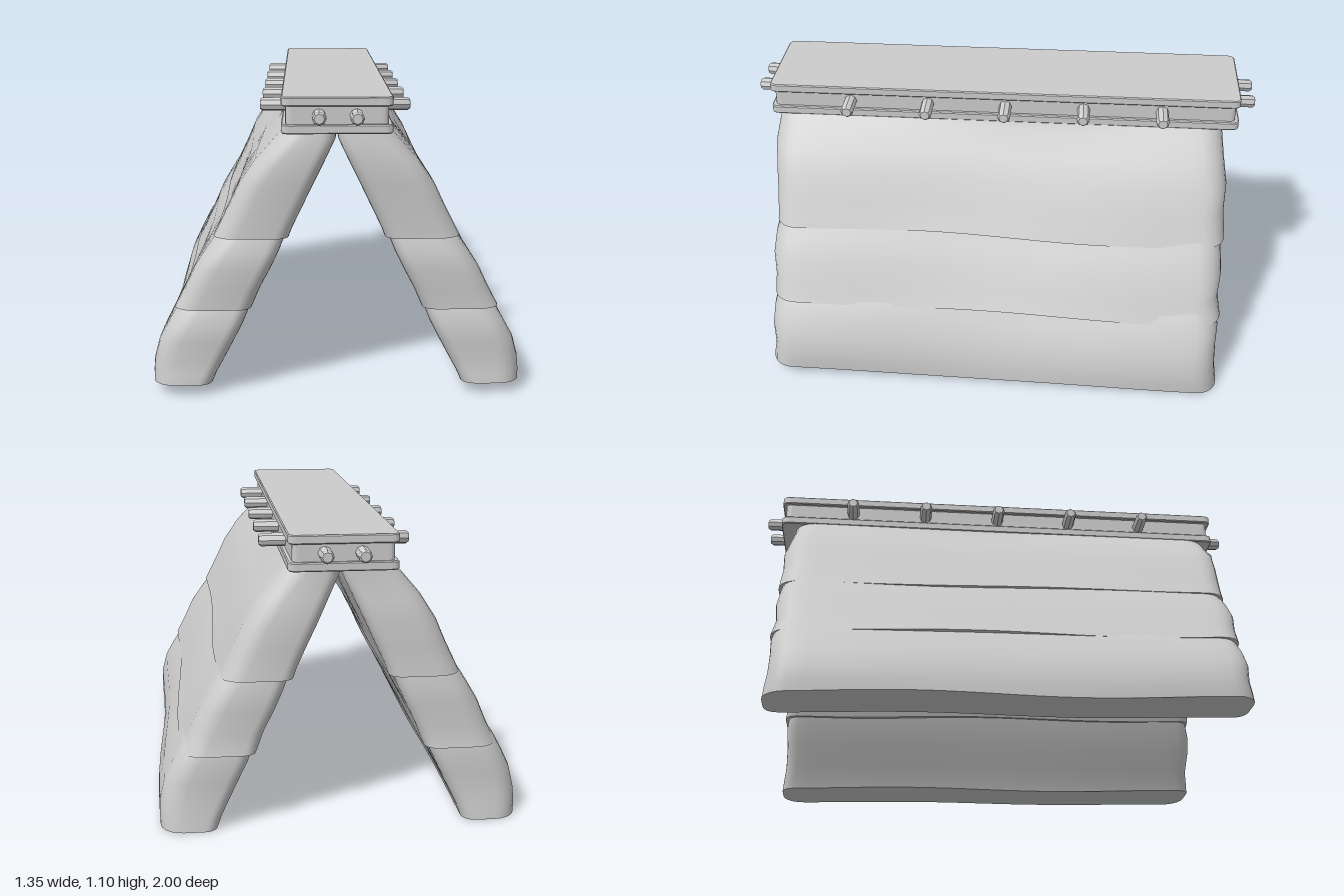
import * as THREE from 'three';
import { toCreasedNormals } from 'three/addons/utils/BufferGeometryUtils.js';

const material = new THREE.MeshStandardMaterial({ color: 0xcccccc });

function add(parent, name, geometry) {
  const mesh = new THREE.Mesh(geometry, material);
  mesh.name = name;
  parent.add(mesh);
  return mesh;
}

// Flat board with rounded corners, lying in the xz plane
function board(halfW, halfL, y0, y1, r) {
  const b = 0.004, w = halfW - b, l = halfL - b, s = new THREE.Shape();
  s.moveTo(-w + r, -l);
  s.lineTo(w - r, -l).quadraticCurveTo(w, -l, w, -l + r);
  s.lineTo(w, l - r).quadraticCurveTo(w, l, w - r, l);
  s.lineTo(-w + r, l).quadraticCurveTo(-w, l, -w, l - r);
  s.lineTo(-w, -l + r).quadraticCurveTo(-w, -l, -w + r, -l);
  const g = new THREE.ExtrudeGeometry(s, {
    depth: y1 - y0 - 2 * b, bevelSize: b, bevelThickness: b, bevelSegments: 1, curveSegments: 4,
  });
  g.rotateX(-Math.PI / 2);
  g.translate(0, y0 + b, 0);
  return g;
}

// Peg with chamfered ends, running along y until it is turned
function pegGeometry(length) {
  const r = 0.025, h = length / 2;
  const profile = [[0, -h], [0.018, -h], [r, -h + 0.01], [r, h - 0.01], [0.018, h], [0, h]];
  const g = new THREE.LatheGeometry(profile.map(([x, y]) => new THREE.Vector2(x, y)), 8);
  return toCreasedNormals(g, 0.6);
}

// Rounded rectangle outline in (x, z), finely divided along its long sides
function outline(xi, xo, zb, zf) {
  const pts = [], ri = 0.05, ro = 0.085, n = 28;
  const corner = (cx, cz, r, start) => {
    for (let i = 0; i <= 5; i++) {
      const a = start + (i / 5) * Math.PI / 2;
      pts.push([cx + r * Math.cos(a), cz + r * Math.sin(a)]);
    }
  };
  const side = (x, z0, z1) => {
    for (let i = 1; i < n; i++) pts.push([x, z0 + (z1 - z0) * i / n]);
  };
  corner(xo - ro, zf - ro, ro, 0);
  corner(xi + ri, zf - ri, ri, Math.PI / 2);
  side(xi, zf - ri, zb + ri);
  corner(xi + ri, zb + ri, ri, Math.PI);
  corner(xo - ro, zb + ro, ro, Math.PI * 1.5);
  side(xo, zb + ro, zf - ro);
  return pts;
}

// One course of thatch: rows of [y, inner x, outer x, back z, front z], top to bottom
function thatchLayer(rows, side, phase) {
  const pos = [], index = [];
  const tri = (a, b, c) => (side > 0 ? index.push(a, b, c) : index.push(a, c, b));
  let count = 0;
  rows.forEach(([y, xi, xo, zb, zf], k) => {
    const t = k / (rows.length - 1);
    const ring = outline(xi, xo, zb, zf);
    count = ring.length;
    for (const [x, z] of ring) {
      const w = (x - xi) / (xo - xi);
      const wave = 0.008 * w * Math.sin(4.3 * z + phase + 5 * y) * Math.min(1, k);
      const sag = t * (0.016 * z + 0.006 * Math.sin(5 * z + phase));
      pos.push(side * (x + wave), Math.max(0, y + sag), z);
    }
  });
  for (let k = 0; k < rows.length - 1; k++) {
    for (let i = 0; i < count; i++) {
      const a = k * count + i, b = k * count + (i + 1) % count;
      tri(a, b, a + count);
      tri(b, b + count, a + count);
    }
  }
  // Close the top and bottom
  for (const k of [0, rows.length - 1]) {
    const [y, xi, xo, zb, zf] = rows[k], c = pos.length / 3;
    pos.push(side * (xi + xo) / 2, y, (zb + zf) / 2);
    for (let i = 0; i < count; i++) {
      const a = k * count + i, b = k * count + (i + 1) % count;
      if (k === 0) tri(c, b, a); else tri(c, a, b);
    }
  }
  const g = new THREE.BufferGeometry();
  g.setAttribute('position', new THREE.Float32BufferAttribute(pos, 3));
  g.setIndex(index);
  return toCreasedNormals(g, 0.75);
}

export function createModel() {
  const model = new THREE.Group();
  model.name = 'thatchedRoof';

  // Sloping thatch, three overlapping courses on each side
  const courses = [
    ['upperThatch', 0.4, [
      [0.975, 0.0, 0.19, -0.875, 0.905], [0.94, 0.005, 0.215, -0.875, 0.91],
      [0.86, 0.043, 0.285, -0.885, 0.92], [0.77, 0.086, 0.345, -0.9, 0.913],
      [0.68, 0.128, 0.388, -0.895, 0.908], [0.61, 0.161, 0.425, -0.9, 0.905],
      [0.575, 0.174, 0.443, -0.902, 0.905]]],
    ['middleThatch', 1.9, [
      [0.65, 0.165, 0.385, -0.87, 0.88], [0.59, 0.185, 0.424, -0.885, 0.897],
      [0.53, 0.208, 0.465, -0.892, 0.912], [0.46, 0.241, 0.51, -0.898, 0.918],
      [0.38, 0.281, 0.548, -0.888, 0.908], [0.305, 0.312, 0.588, -0.902, 0.908]]],
    ['lowerThatch', 3.3, [
      [0.38, 0.295, 0.53, -0.87, 0.88], [0.32, 0.318, 0.571, -0.885, 0.9],
      [0.26, 0.341, 0.605, -0.895, 0.914], [0.19, 0.375, 0.642, -0.89, 0.918],
      [0.11, 0.415, 0.664, -0.892, 0.91], [0.06, 0.441, 0.668, -0.9, 0.918],
      [0.02, 0.457, 0.668, -0.905, 0.922]]],
  ];
  for (const side of [1, -1]) {
    const slope = new THREE.Group();
    slope.name = side > 0 ? 'leftSlope' : 'rightSlope';
    for (const [name, phase, rows] of courses) add(slope, name, thatchLayer(rows, side, phase));
    model.add(slope);
  }

  // Ridge made of two boards with a narrower beam between
  const ridge = new THREE.Group();
  ridge.name = 'ridge';
  add(ridge, 'topBoard', board(0.197, 0.933, 1.064, 1.097, 0.025));
  add(ridge, 'ridgeBeam', board(0.182, 0.918, 0.99, 1.075, 0.02));
  add(ridge, 'bottomBoard', board(0.197, 0.933, 0.967, 1.0, 0.025));
  model.add(ridge);

  // Pegs through the sides and out of both ends
  const pegs = new THREE.Group();
  pegs.name = 'pegs';
  for (let i = 0; i < 5; i++) {
    const peg = add(pegs, 'sidePeg', pegGeometry(0.56));
    peg.rotation.z = Math.PI / 2;
    peg.position.set(0, 1.03, 0.61 - 0.31 * i);
  }
  for (const x of [-0.064, 0.068]) {
    const peg = add(pegs, 'endPeg', pegGeometry(2));
    peg.rotation.x = Math.PI / 2;
    peg.position.set(x, 1.03, 0);
  }
  model.add(pegs);
  return model;
}
